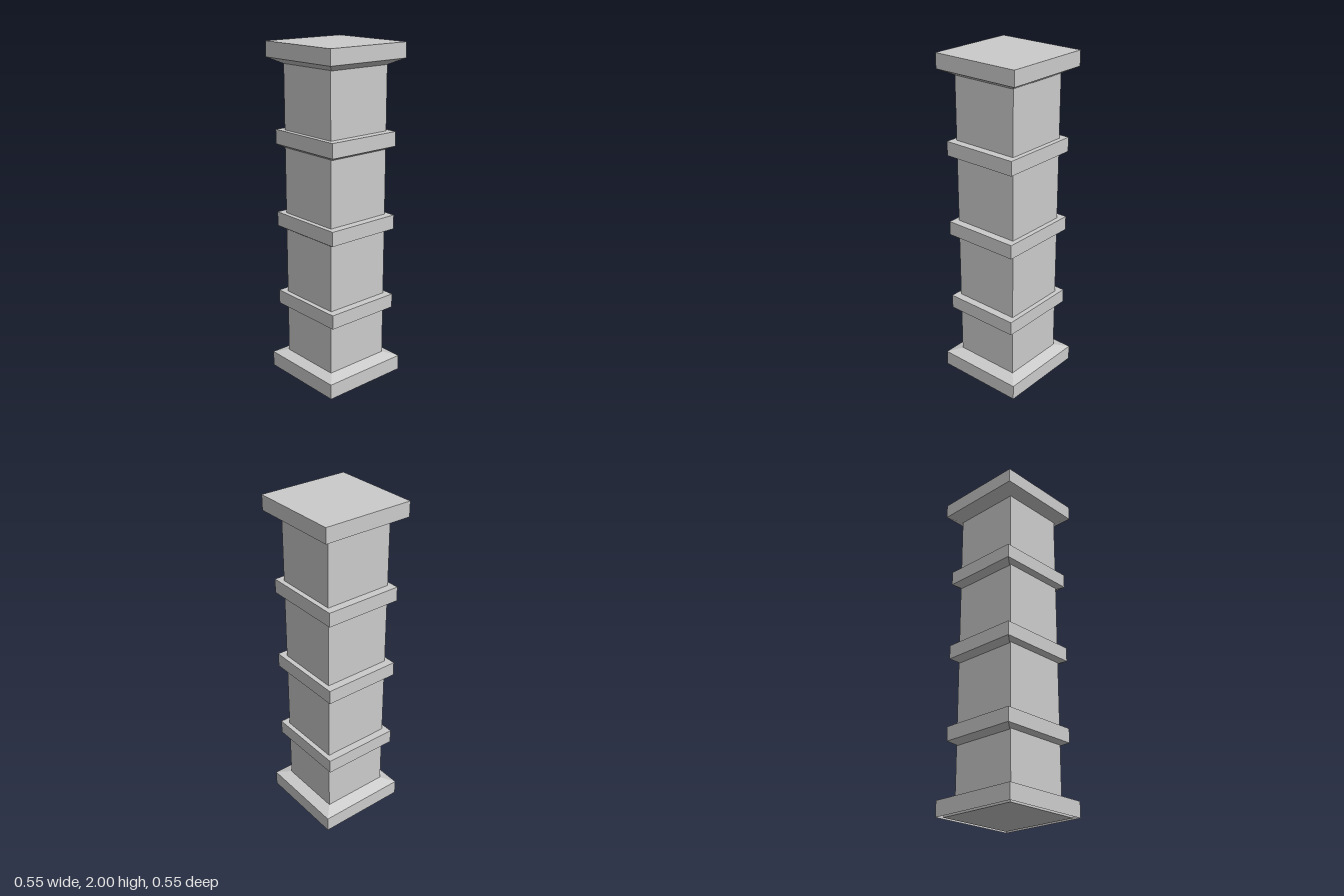
import * as THREE from 'three';

const material = new THREE.MeshStandardMaterial({ color: 0xcccccc, flatShading: true, side: THREE.DoubleSide });

// Stack of rectangular sections [halfX, y, halfZ], bottom to top, with optional end caps
function rectLoft(name, sections, { bottom = true, top = true } = {}) {
  const pos = [];
  const corners = ([hx, y, hz]) => [[-hx, y, hz], [hx, y, hz], [hx, y, -hz], [-hx, y, -hz]];
  const quad = (a, b, c, d) => pos.push(...a, ...b, ...c, ...a, ...c, ...d);
  const rings = sections.map(corners);
  for (let i = 0; i < rings.length - 1; i++) {
    for (let k = 0; k < 4; k++) {
      const n = (k + 1) % 4;
      quad(rings[i][k], rings[i][n], rings[i + 1][n], rings[i + 1][k]);
    }
  }
  if (top) quad(...rings[rings.length - 1]);
  if (bottom) quad(...[...rings[0]].reverse());
  const geometry = new THREE.BufferGeometry();
  geometry.setAttribute('position', new THREE.Float32BufferAttribute(pos, 3));
  geometry.computeVertexNormals();
  const mesh = new THREE.Mesh(geometry, material);
  mesh.name = name;
  return mesh;
}

export function createModel() {
  const group = new THREE.Group();
  group.name = 'squarePillar';

  // Square shaft
  const shaft = rectLoft('shaft', [[0.207, 0.08, 0.2], [0.207, 1.9, 0.2]]);
  shaft.position.x = -0.002;
  group.add(shaft);

  // Base: hollow skirt with a sloped top edge, around an inset foot
  group.add(rectLoft('baseSkirt',
    [[0.275, 0, 0.275], [0.275, 0.092, 0.275], [0.205, 0.115, 0.2]], { bottom: false, top: false }));
  group.add(rectLoft('baseFoot', [[0.247, 0, 0.243], [0.247, 0.085, 0.243]]));

  // Three raised bands with a chamfered underside
  [0.4, 0.9, 1.395].forEach((y, i) => {
    const band = rectLoft('band' + (i + 1),
      [[0.198, 0, 0.198], [0.236, 0.023, 0.248], [0.236, 0.108, 0.248]]);
    band.position.set(-0.002, y, 0);
    group.add(band);
  });

  // Capital with a sloped underside
  group.add(rectLoft('capital', [[0.204, 1.875, 0.2], [0.275, 1.912, 0.275], [0.275, 2, 0.275]]));

  return group;
}
